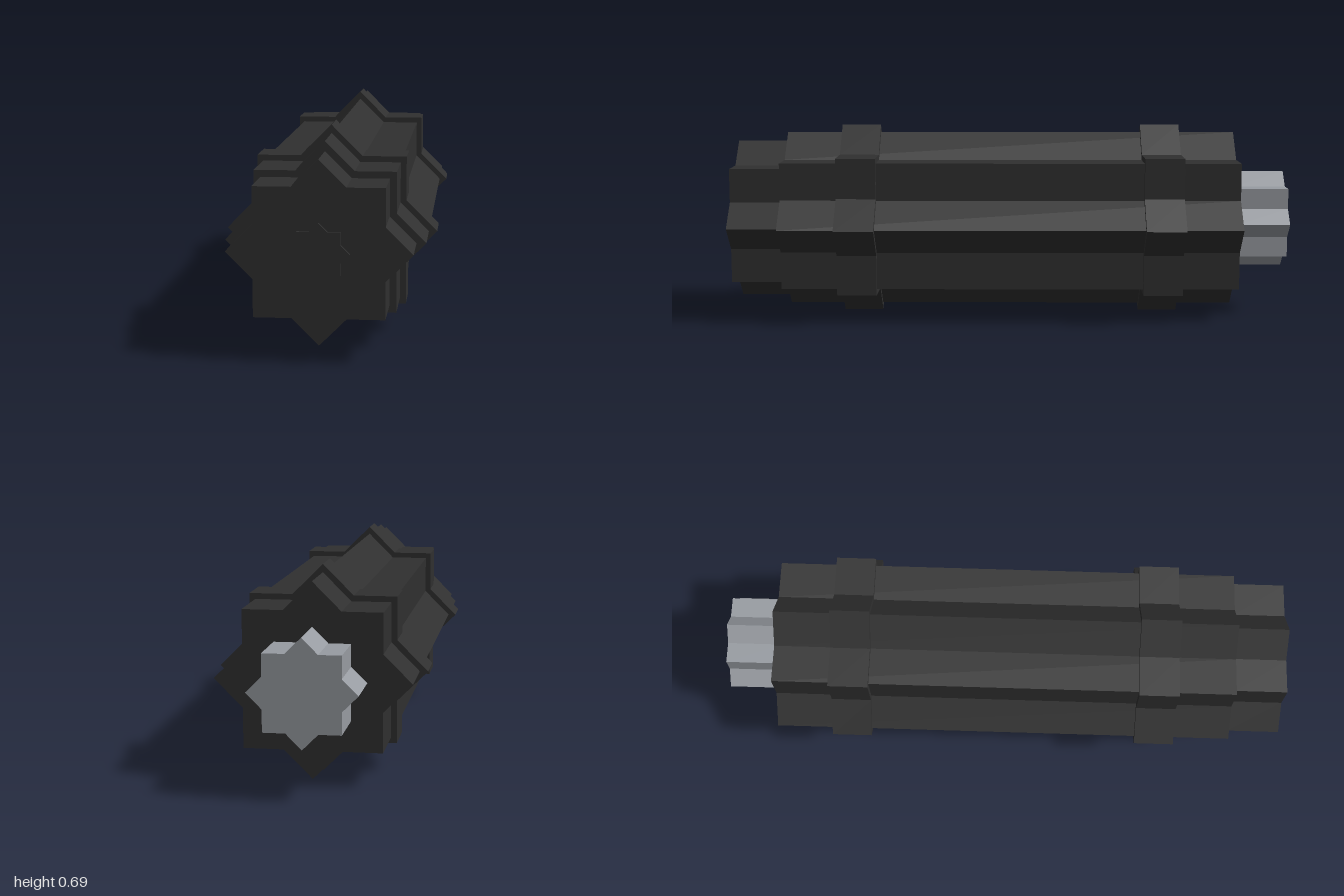
import * as THREE from 'three';

const CENTER_Y = 0.344;
const INNER_RATIO = Math.SQRT1_2 / Math.cos(Math.PI / 8);

// Eight-pointed outline: two equal squares, one turned by 45 degrees
function starShape(radius) {
  const points = [];
  for (let i = 0; i < 16; i++) {
    const r = i % 2 ? radius * INNER_RATIO : radius;
    const a = (i * Math.PI) / 8;
    points.push(new THREE.Vector2(Math.cos(a) * r, Math.sin(a) * r));
  }
  return new THREE.Shape(points);
}

// Star-shaped prism running along z from back to front
function starPrism(name, radius, back, front, material) {
  const geometry = new THREE.ExtrudeGeometry(starShape(radius), {
    depth: front - back,
    bevelEnabled: false,
  });
  const mesh = new THREE.Mesh(geometry, material);
  mesh.name = name;
  mesh.position.set(0, CENTER_Y, back);
  return mesh;
}

export function createModel() {
  const dark = new THREE.MeshStandardMaterial({ color: 0x303030 });
  dark.name = 'dark casing';
  const metal = new THREE.MeshStandardMaterial({ color: 0x989ca2 });
  metal.name = 'grey metal';

  const model = new THREE.Group();
  model.name = 'starProfileCylinder';
  model.add(
    starPrism('body', 0.317, -0.815, 0.81, dark),
    starPrism('frontRing', 0.344, 0.47, 0.61, dark),
    starPrism('rearRing', 0.344, -0.615, -0.475, dark),
    starPrism('frontCap', 0.286, 0.81, 0.99, dark),
    starPrism('frontButton', 0.095, 0.99, 1, dark),
    starPrism('rearShaft', 0.174, -1, -0.815, metal),
  );
  return model;
}
